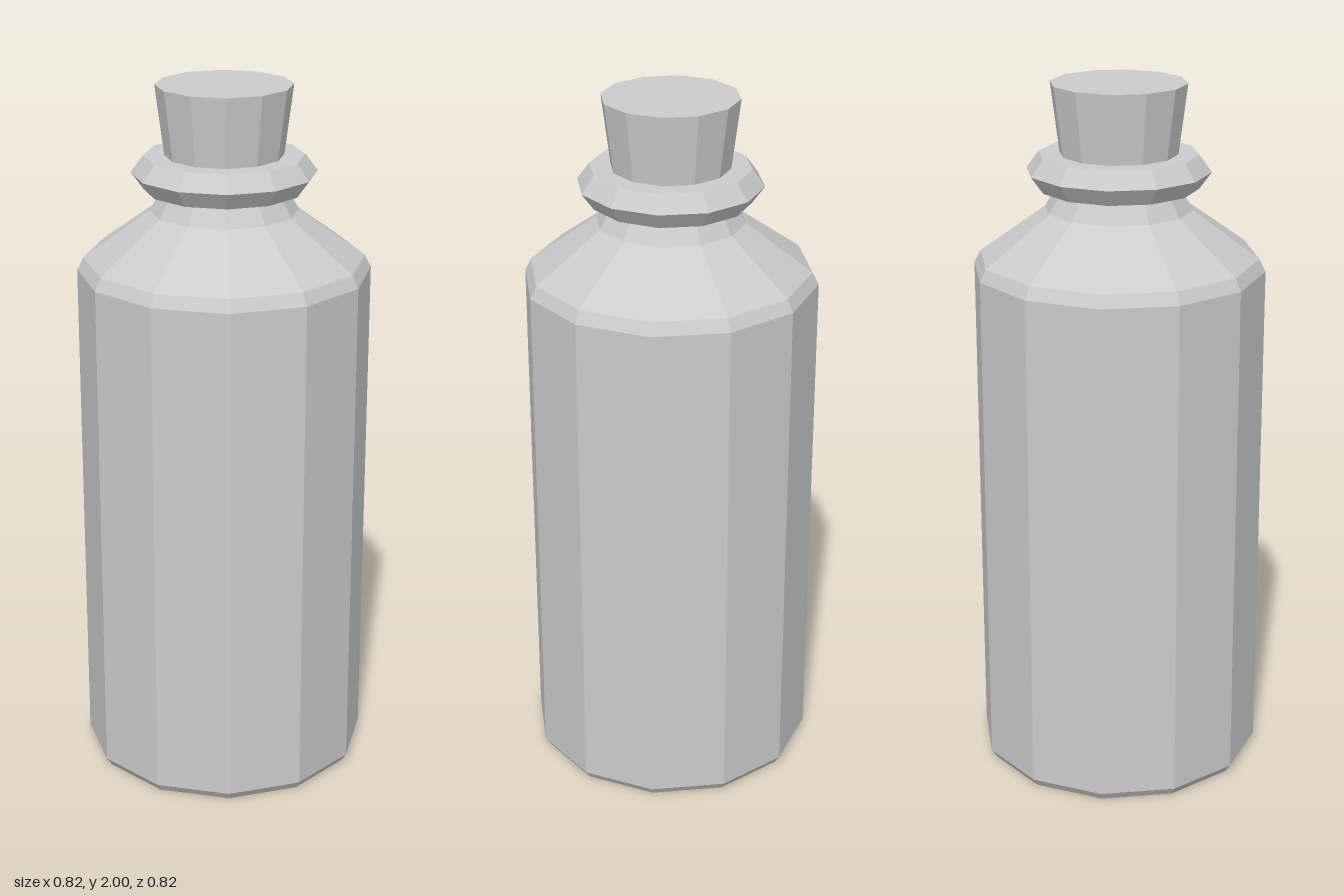
import * as THREE from 'three';

const SIDES = 12;

export function createModel() {
  const model = new THREE.Group();
  model.name = 'corkedBottle';
  const material = new THREE.MeshStandardMaterial({ color: 0xcccccc, flatShading: true });

  // Turns a [radius, height] profile, listed bottom to top, into a faceted part
  const addTurned = (name, profile) => {
    const points = profile.map(([r, y]) => new THREE.Vector2(r, y));
    const mesh = new THREE.Mesh(new THREE.LatheGeometry(points, SIDES), material);
    mesh.name = name;
    model.add(mesh);
  };

  // Body with bevelled base, sloping shoulder and short neck
  addTurned('body', [
    [0, 0], [0.395, 0], [0.412, 0.025], [0.412, 1.48], [0.394, 1.515],
    [0.207, 1.65], [0.173, 1.71], [0.173, 1.73],
  ]);

  // Lip ring around the mouth
  addTurned('lip', [
    [0.15, 1.71], [0.223, 1.71], [0.258, 1.758], [0.223, 1.805], [0.15, 1.805],
  ]);

  // Tapered stopper, seated in the mouth
  addTurned('stopper', [[0, 1.75], [0.158, 1.75], [0.19, 2], [0, 2]]);

  return model;
}
